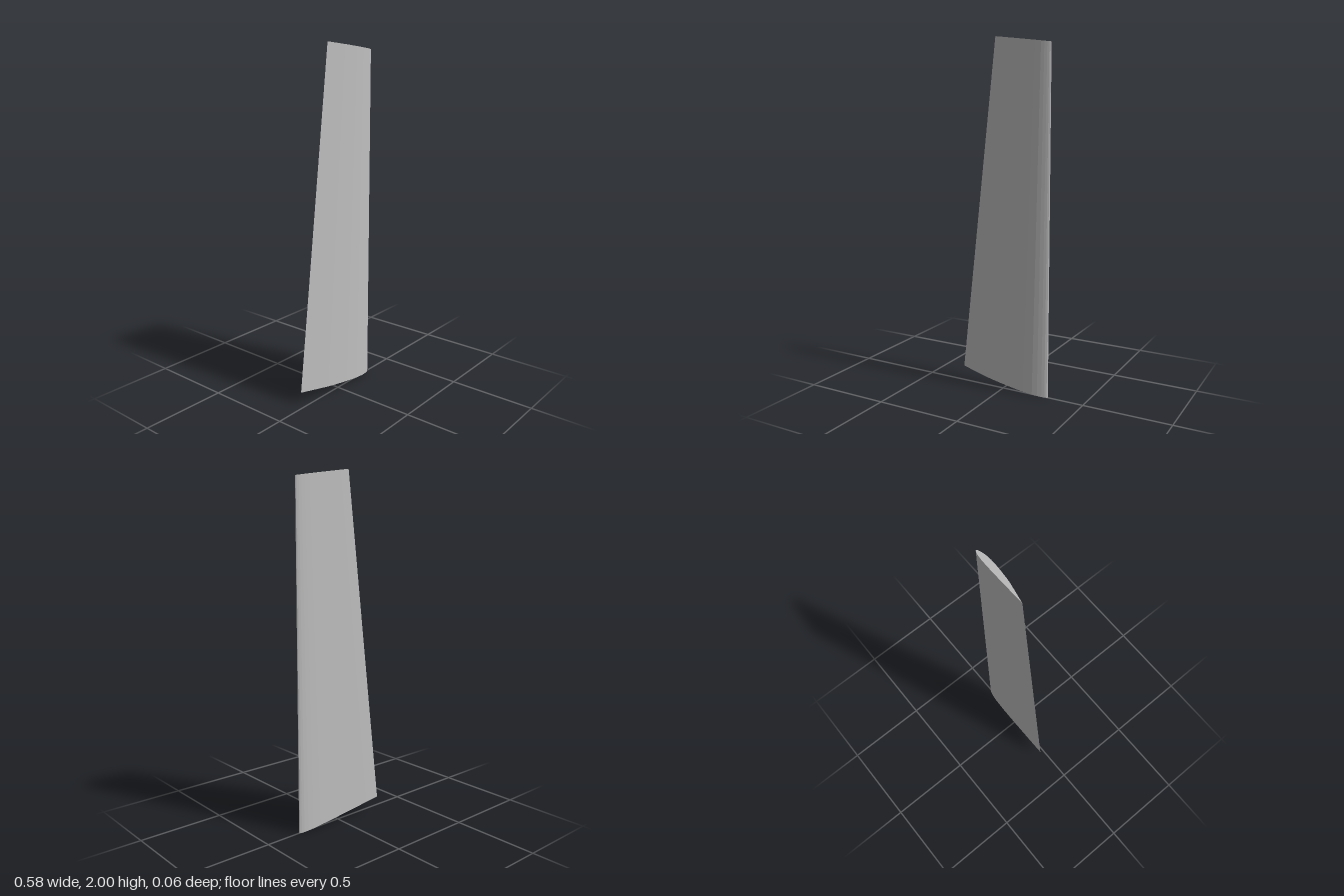
import * as THREE from 'three';

const LEAD_X = 0.288, TILT = 0.125;

// Root section as (x, z): trailing edge, front side, leading edge, back side
const SECTION = [
  [-0.288, -0.034], [-0.2, -0.014], [-0.1, 0.008], [-0.05, 0.0155], [0, 0.021], [0.05, 0.026],
  [0.1, 0.03], [0.145, 0.031], [0.2, 0.028], [0.23, 0.0235], [0.255, 0.0175], [0.272, 0.012], [0.283, 0.006],
  [0.288, 0],
  [0.285, -0.0045], [0.275, -0.0095], [0.26, -0.0145], [0.235, -0.019], [0.2, -0.023], [0.15, -0.026],
  [0.1, -0.028], [0, -0.0305], [-0.1, -0.032], [-0.2, -0.0333],
];

// Section scaled about the straight leading edge and sloped along its chord
function ring(y, scale) {
  return SECTION.map(([x, z]) => {
    const back = (LEAD_X - x) * scale;
    return [LEAD_X - back, y + back * TILT, z * scale];
  });
}

function loft(bottom, top) {
  const n = bottom.length;
  const index = [];
  for (let i = 0; i < n; i++) {
    const j = (i + 1) % n;
    index.push(i, j, n + j, i, n + j, n + i);
  }
  // End caps
  const outline = SECTION.map(([x, z]) => new THREE.Vector2(x, -z));
  for (const [a, b, c] of THREE.ShapeUtils.triangulateShape(outline, [])) {
    index.push(n + a, n + b, n + c, a, c, b);
  }
  const geometry = new THREE.BufferGeometry();
  geometry.setAttribute('position', new THREE.Float32BufferAttribute([...bottom, ...top].flat(), 3));
  geometry.setIndex(index);
  const faceted = geometry.toNonIndexed();
  faceted.computeVertexNormals();
  return faceted;
}

export function createModel() {
  const model = new THREE.Group();
  model.name = 'taperedFoil';
  const grey = new THREE.MeshStandardMaterial({ color: 0xc0c0c0 });
  grey.name = 'light grey';

  const blade = new THREE.Mesh(loft(ring(0, 1), ring(1.957, 0.604)), grey);
  blade.name = 'blade';
  model.add(blade);
  return model;
}
